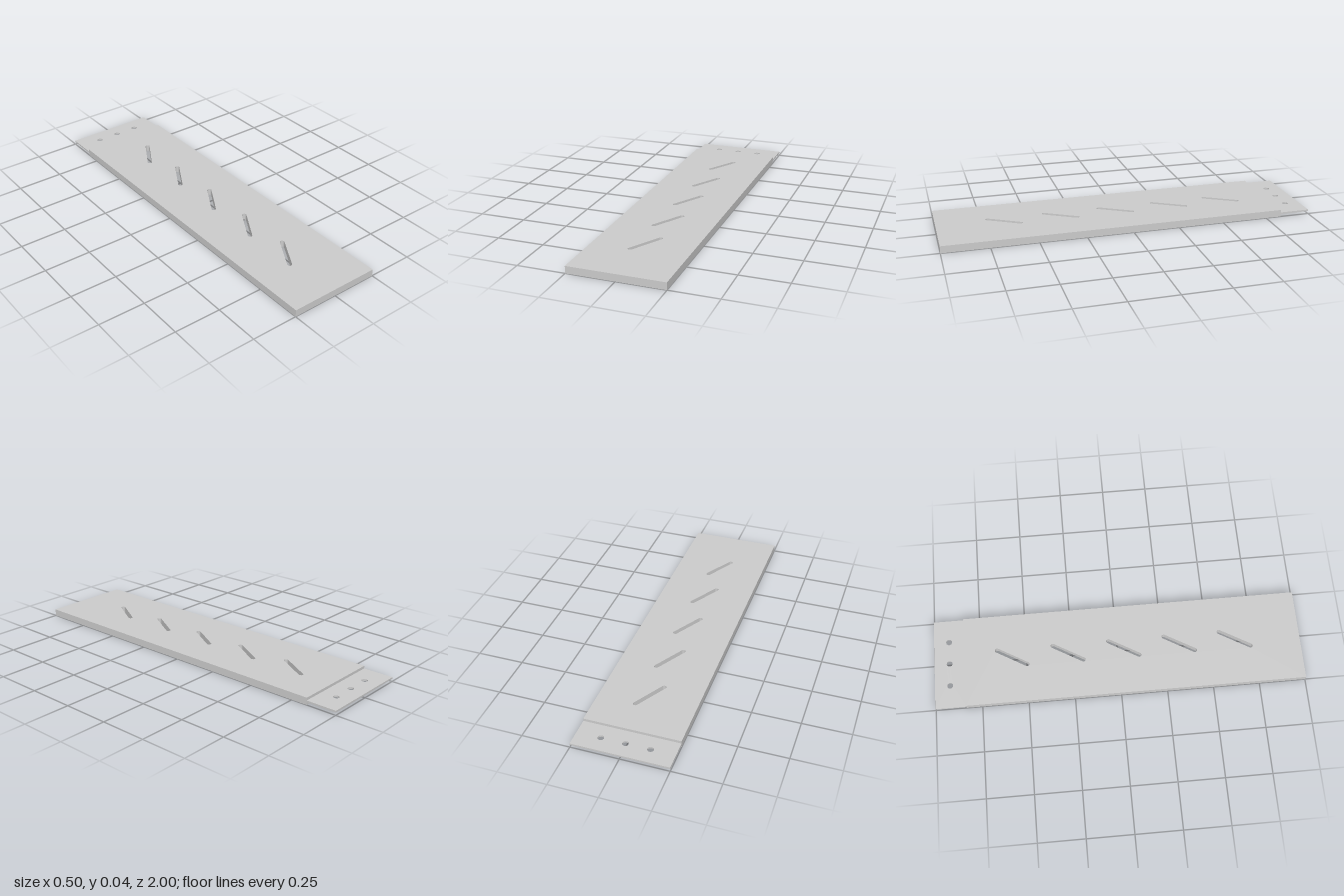
import * as THREE from 'three';

const material = new THREE.MeshStandardMaterial({ color: 0xcccccc });

// Rectangular outline in plan: x across, z along
function rectangle(x0, x1, z0, z1) {
  return new THREE.Shape([[x0, z0], [x1, z0], [x1, z1], [x0, z1]].map(([x, z]) => new THREE.Vector2(x, z)));
}

// Round-ended slot, leaning 30 degrees from the long axis
function slantedSlot(cx, cz, halfSpan, radius) {
  const angle = -Math.PI / 3;
  const dx = Math.cos(angle) * halfSpan, dz = Math.sin(angle) * halfSpan;
  const slot = new THREE.Path();
  slot.absarc(cx + dx, cz + dz, radius, angle - Math.PI / 2, angle + Math.PI / 2, false);
  slot.absarc(cx - dx, cz - dz, radius, angle + Math.PI / 2, angle + Math.PI * 1.5, false);
  slot.closePath();
  return slot;
}

// Extrude a plan outline downwards from its top height
function plate(name, shape, bottom, top) {
  const geometry = new THREE.ExtrudeGeometry(shape, { depth: top - bottom, bevelEnabled: false, curveSegments: 16 });
  geometry.rotateX(Math.PI / 2).translate(0, top, 0);
  const mesh = new THREE.Mesh(geometry, material);
  mesh.name = name;
  return mesh;
}

export function createModel() {
  const group = new THREE.Group();
  group.name = 'slottedPlank';
  const shoulder = -0.836;

  // Thick board with five slanted through slots
  const board = rectangle(-0.25, 0.25, shoulder, 1);
  for (let i = -2; i <= 2; i++) board.holes.push(slantedSlot(0.003, 0.034 + i * 0.305, 0.093, 0.012));
  group.add(plate('board', board, 0, 0.038));

  // Thin mounting tab with three round holes
  const tab = rectangle(-0.25, 0.25, -1, shoulder);
  for (const x of [-0.125, 0, 0.125]) {
    tab.holes.push(new THREE.Path().absarc(x, -0.918, 0.016, 0, Math.PI * 2, false));
  }
  group.add(plate('mountingTab', tab, 0.0145, 0.0235));

  return group;
}
